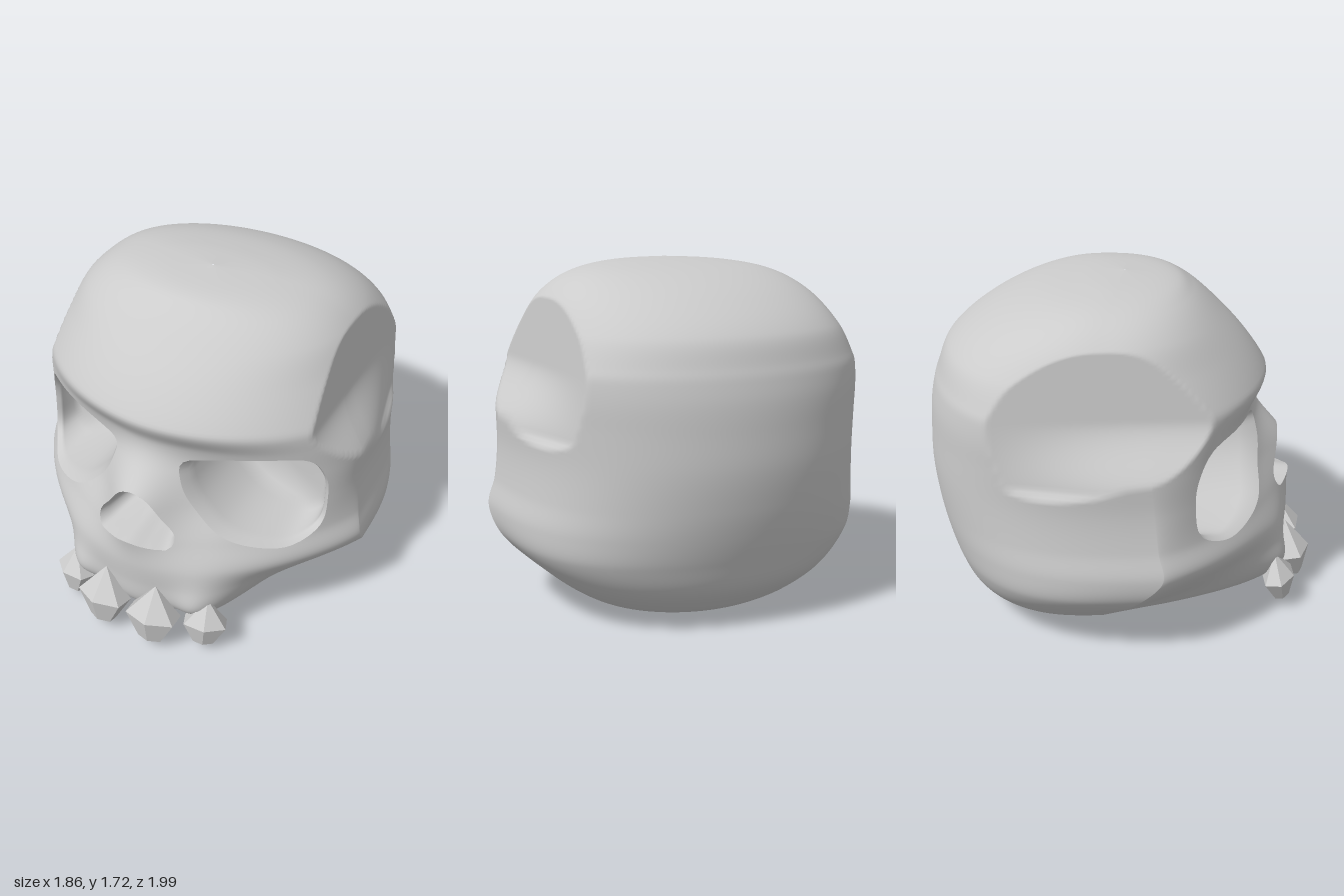
import * as THREE from 'three';

// Horizontal sections: y, half width, z of widest point, front z, back z, front and back roundness
const LEVELS = [
  [0, 0.01, -0.2, -0.19, -0.21, 0.5, 0.5],
  [0.005, 0.25, -0.2, 0.2, -0.54, 0.5, 0.42],
  [0.03, 0.46, -0.18, 0.5, -0.64, 0.65, 0.39],
  [0.09, 0.6, -0.16, 0.74, -0.74, 0.85, 0.36],
  [0.2, 0.75, -0.1, 0.85, -0.85, 1, 0.34],
  [0.35, 0.9, 0.03, 0.865, -0.91, 1, 0.33],
  [0.48, 0.93, 0.14, 0.855, -0.95, 0.85, 0.32],
  [0.62, 0.9, 0.12, 0.79, -0.98, 0.78, 0.32],
  [0.8, 0.88, 0.1, 0.67, -1, 0.6, 0.32],
  [0.98, 0.885, 0.08, 0.63, -0.995, 0.55, 0.32],
  [1.11, 0.887, 0.04, 0.65, -0.985, 0.52, 0.32],
  [1.21, 0.88, 0, 0.71, -0.965, 0.55, 0.32],
  [1.25, 0.87, -0.02, 0.715, -0.952, 0.57, 0.325],
  [1.4, 0.79, -0.07, 0.61, -0.885, 0.53, 0.34],
  [1.55, 0.69, -0.1, 0.465, -0.69, 0.45, 0.38],
  [1.65, 0.54, -0.1, 0.345, -0.46, 0.42, 0.42],
  [1.7, 0.32, -0.05, 0.24, -0.22, 0.45, 0.45],
  [1.72, 0.005, 0, 0.005, -0.005, 0.5, 0.5],
];
const TOP = LEVELS.length - 1;
const smooth = (v, a, b) => THREE.MathUtils.smoothstep(v, a, b);
const bell = (v, centre, width) => Math.exp(-(((v - centre) / width) ** 2));

// Knots spaced by the distance between neighbouring levels
const KNOTS = [0];
for (let i = 1; i <= TOP; i++) {
  const p = LEVELS[i - 1], q = LEVELS[i];
  KNOTS.push(KNOTS[i - 1] + Math.hypot(q[0] - p[0], q[1] - p[1], q[4] - p[4]));
}
const END = KNOTS[TOP];

// Smooth blend through the levels
function section(t) {
  let i = 0;
  while (i < TOP - 1 && KNOTS[i + 1] < t) i++;
  const h = KNOTS[i + 1] - KNOTS[i], f = (t - KNOTS[i]) / h;
  const slope = (k, c) => {
    const a = Math.max(k - 1, 0), b = Math.min(k + 1, TOP);
    return (LEVELS[b][c] - LEVELS[a][c]) / (KNOTS[b] - KNOTS[a]) * h;
  };
  return LEVELS[0].map((_, c) => {
    const p = LEVELS[i][c], d = LEVELS[i + 1][c] - p, m = slope(i, c), n = slope(i + 1, c);
    return p + f * (m + f * (3 * d - 2 * m - n + f * (m + n - 2 * d)));
  });
}

function sectionAtHeight(y) {
  let lo = 0, hi = END;
  for (let k = 0; k < 30; k++) {
    const mid = (lo + hi) / 2;
    if (section(mid)[0] < y) lo = mid; else hi = mid;
  }
  return section(lo);
}

// Raised bridge of the nose, and the corners of the upper jaw
const relief = (x, y) => 0.185 * bell(x, 0, 0.19) * bell(y, 0.8, 0.21)
  + 0.15 * bell(Math.abs(x), 0.38, 0.14) * bell(y, 0.2, 0.17);

function frontZ(x, y) {
  const [, w, zm, zf, , b] = sectionAtHeight(y);
  const u = Math.min(Math.abs(x) / w, 1);
  return zm + (zf - zm) * Math.pow(1 - u * u, b) + relief(x, y);
}

// Flattened temples that flare out to the cheekbones
function templeLimit(y, z) {
  return 0.735 - 0.1 * (y - 1.15)
    + 0.15 * smooth(1.22 - y, 0, 0.32) * smooth(z, -0.75, 0.15)
    + 0.3 * smooth(0.92 - y, 0, 0.2);
}

// Underside height along z
const underside = (z) => 0.045 * smooth(z, -0.45, -0.05) + 0.075 * smooth(z, 0.1, 0.65) + 0.08 * smooth(z, 0.7, 0.88);

// Opening in the face: smooth outline, seen from its centre
function makeHole(cx, cy, points, mirror = 1) {
  const curve = new THREE.CatmullRomCurve3(
    points.map(([x, y]) => new THREE.Vector3(x * mirror, y, 0)), true, 'centripetal');
  const outline = curve.getSpacedPoints(90).slice(0, 90);
  const c = new THREE.Vector2(cx * mirror, cy);
  // Push an inside point out to the rim, or return null when outside
  const snap = (x, y) => {
    const dx = x - c.x, dy = y - c.y;
    if (Math.hypot(dx, dy) > 0.6) return null;
    for (let i = 0; i < outline.length; i++) {
      const p = outline[i], q = outline[(i + 1) % outline.length];
      const ex = q.x - p.x, ey = q.y - p.y, px = p.x - c.x, py = p.y - c.y;
      const det = dx * ey - dy * ex;
      if (Math.abs(det) < 1e-12) continue;
      const s = (px * ey - py * ex) / det, u = (px * dy - py * dx) / det;
      if (s > 0 && u >= 0 && u <= 1) return s > 1 ? [c.x + dx * s, c.y + dy * s] : null;
    }
    return null;
  };
  return { c, outline, snap };
}

function indexedGeometry(pos, idx) {
  const g = new THREE.BufferGeometry();
  g.setAttribute('position', new THREE.Float32BufferAttribute(pos, 3));
  g.setIndex(idx);
  g.computeVertexNormals();
  return g;
}

function skullGeometry(holes) {
  const rows = 220, cols = 220, pos = [], idx = [], inside = [];
  for (let i = 0; i <= rows; i++) {
    const [y0, w, zm, zf, zb, bf, bb] = section((i / rows) * END);
    for (let j = 0; j < cols; j++) {
      const a = (j / cols) * Math.PI * 2, front = Math.cos(a) > 0;
      let x = w * Math.sin(a), y = y0;
      const c2 = Math.cos(a) ** 2;
      let z = front ? zm + (zf - zm) * Math.pow(c2, bf) + relief(x, y) * smooth(c2, 0, 0.3)
        : zm + (zb - zm) * Math.pow(c2, bb);
      let cut = false;
      if (front) for (const h of holes) {
        const s = h.snap(x, y);
        if (s) { [x, y] = s; z = frontZ(x, y); cut = true; }
      }
      const lim = templeLimit(y, z);
      if (!cut) x = THREE.MathUtils.clamp(x, -lim, lim);
      pos.push(x, Math.max(y, underside(z)), z);
      inside.push(cut);
    }
  }
  const tri = (a, b, c) => { if (!(inside[a] && inside[b] && inside[c])) idx.push(a, b, c); };
  for (let i = 0; i < rows; i++) for (let j = 0; j < cols; j++) {
    const k = (j + 1) % cols, a = i * cols + j, b = i * cols + k;
    tri(a, b, b + cols);
    tri(a, b + cols, a + cols);
  }
  return indexedGeometry(pos, idx);
}

// Pocket behind an opening: [scale, share of the way back] rings closed by a centre
function socketGeometry({ c, outline }, backZ, rings) {
  const pos = [], idx = [], n = outline.length;
  for (const [s, f] of rings) for (const p of outline) {
    const z = frontZ(p.x, p.y);
    pos.push(c.x + (p.x - c.x) * s, c.y + (p.y - c.y) * s, z + (backZ - z) * f);
  }
  for (let r = 0; r < rings.length - 1; r++) for (let j = 0; j < n; j++) {
    const a = r * n + j, b = r * n + (j + 1) % n;
    idx.push(a, b, b + n, a, b + n, a + n);
  }
  const last = (rings.length - 1) * n;
  pos.push(c.x, c.y, backZ);
  for (let j = 0; j < n; j++) idx.push(last + j, last + (j + 1) % n, rings.length * n);
  return indexedGeometry(pos, idx);
}

export function createModel() {
  const group = new THREE.Group();
  const bone = new THREE.MeshStandardMaterial({ color: 0xcccccc });
  const inner = new THREE.MeshStandardMaterial({ color: 0xcccccc, side: THREE.DoubleSide });
  const enamel = new THREE.MeshStandardMaterial({ color: 0xcccccc, flatShading: true });
  const add = (name, geo, mat) => {
    const m = new THREE.Mesh(geo, mat);
    m.name = name;
    group.add(m);
    return m;
  };

  // Openings
  const eye = [[0.18, 1.02], [0.3, 1.06], [0.55, 1.09], [0.72, 1.065], [0.785, 0.95], [0.8, 0.8],
    [0.78, 0.63], [0.7, 0.575], [0.55, 0.6], [0.38, 0.68], [0.25, 0.81], [0.19, 0.93]];
  const nose = [[0, 0.88], [0.07, 0.855], [0.15, 0.75], [0.215, 0.65], [0.19, 0.595], [0.1, 0.6],
    [0, 0.62], [-0.1, 0.6], [-0.19, 0.595], [-0.215, 0.65], [-0.15, 0.75], [-0.07, 0.855]];
  const leftEye = makeHole(0.52, 0.85, eye), rightEye = makeHole(0.52, 0.85, eye, -1);
  const noseHole = makeHole(0, 0.71, nose);

  add('skull', skullGeometry([leftEye, rightEye, noseHole]), bone);
  const eyeRings = [[1, 0], [0.93, 0.1], [0.91, 0.2], [0.86, 0.8], [0.75, 0.97]];
  add('leftEyeSocket', socketGeometry(leftEye, 0.18, eyeRings), inner);
  add('rightEyeSocket', socketGeometry(rightEye, 0.18, eyeRings), inner);
  add('noseCavity', socketGeometry(noseHole, 0.5, [[1, 0], [0.9, 0.2], [0.75, 0.7], [0.5, 0.95]]), inner);

  // Upper teeth: faceted, pointed at the root and blunt at the tip, leaning forward
  const profile = [[0, 0], [0.055, 0.01], [0.115, 0.15], [0, 0.32]].map((p) => new THREE.Vector2(...p));
  for (const side of [1, -1]) {
    const teeth = [['innerTooth', 0.145, 0.05, 0.92, 1, 0.1], ['outerTooth', 0.39, 0.05, 0.815, 0.82, 0.4]];
    for (const [name, x, y, z, size, turn] of teeth) {
      const tooth = add((side > 0 ? 'left' : 'right') + name[0].toUpperCase() + name.slice(1),
        new THREE.LatheGeometry(profile, 6), enamel);
      tooth.position.set(x * side, y, z);
      tooth.scale.set(size * 1.3, size, size * 0.9);
      tooth.rotation.set(-0.2, turn * side, 0);
    }
  }
  return group;
}
